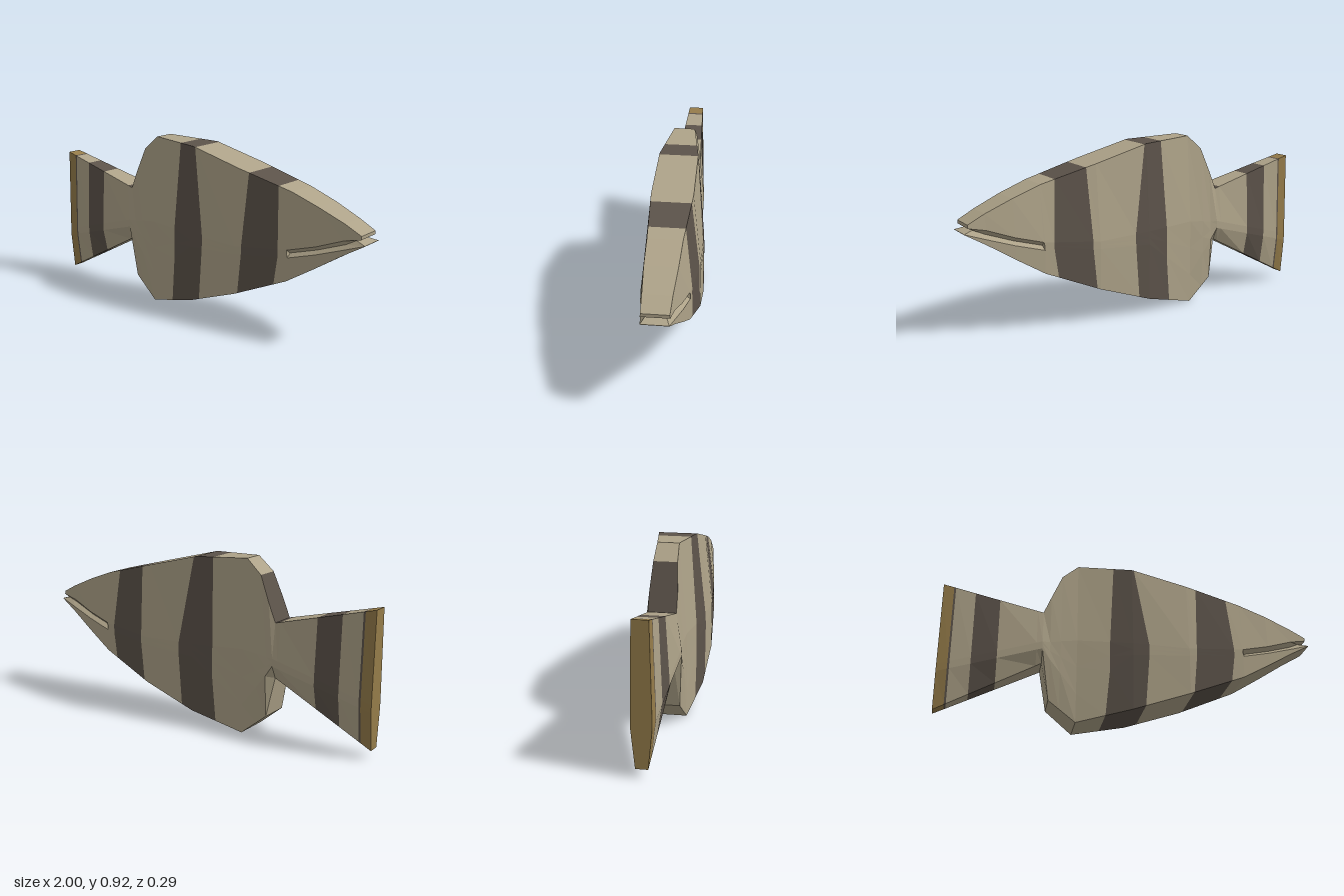
import * as THREE from 'three';

const material = (name, color) => {
  const m = new THREE.MeshStandardMaterial({ color, flatShading: true });
  m.name = name;
  return m;
};

// Cross-sections: x, then height and half-width of back edge, upper jaw line, lower jaw line, belly edge
const SECTIONS = [
  [-1, .755, .04, .29, .05, .25, .05, .05, .03],
  [-.47, .62, .07, .44, .095, .4, .095, .33, .06],
  [-.43, .717, .07, .44, .09, .34, .095, .12, .08],
  [-.375, .85, .06, .45, .092, .27, .095, .075, .085],
  [-.29, .925, .055, .46, .095, .16, .095, .005, .093],
  [0, .91, .1, .45, .135, .38, .138, .08, .138],
  [.3, .833, .105, .44, .145, .4, .146, .185, .145],
  [.6, .755, .085, .47, .12, .43, .12, .31, .12],
  [.75, .7, .08, .51, .1, .47, .1, .4, .1],
  [.89, .64, .07, .56, .077, .515, .08, .488, .08],
  [1, .583, .065, .582, .065, .552, .065, .551, .065],
];

// Height and half-width of one edge at any x
function edge(x, row) {
  let i = 0;
  while (i < SECTIONS.length - 2 && x > SECTIONS[i + 1][0]) i++;
  const a = SECTIONS[i], b = SECTIONS[i + 1];
  const t = (x - a[0]) / (b[0] - a[0]);
  const at = (k) => a[k] + (b[k] - a[k]) * t;
  return [at(1 + row * 2), at(2 + row * 2)];
}

// Ring of ten points; the x of back, middle and belly may differ so stripes can lean
function ring(station) {
  const [xt, xm, xb] = Array.isArray(station) ? station : [station, station, station];
  const tip = xm > .95;
  const side = [xt, xm, xm, xb].map((x, r) => {
    const xr = tip ? (r < 2 ? .977 : .995) : x;
    return [xr, ...edge(xr, r)];
  });
  // mouth groove, sunk between the jaw lines
  const depth = xm > .6 ? .022 : 0;
  const groove = [tip ? .94 : xm, (side[1][1] + side[2][1]) / 2, (side[1][2] + side[2][2]) / 2 - depth];
  side.splice(2, 0, groove);
  const point = (s) => ([x, y, w]) => new THREE.Vector3(x, y, s * w);
  return [...side.map(point(1)), ...side.map(point(-1)).reverse()];
}

const BACK = 9; // ring segment that crosses the back

// Skin between neighbouring rings, for the wanted segments
function skin(stations, segments, capStart, capEnd) {
  const rings = stations.map(ring), pos = [];
  const quad = (a, b, c, d) => {
    for (const p of [a, b, c, a, c, d]) pos.push(p.x, p.y, p.z);
  };
  for (let i = 0; i < rings.length - 1; i++) {
    const A = rings[i], B = rings[i + 1];
    for (const j of segments) {
      const k = (j + 1) % 10;
      quad(A[j], A[k], B[k], B[j]);
    }
  }
  const first = rings[0], last = rings[rings.length - 1];
  for (let j = 0; j < 4; j++) {
    if (capStart) quad(first[9 - j], first[8 - j], first[j + 1], first[j]);
    if (capEnd) quad(last[j], last[j + 1], last[8 - j], last[9 - j]);
  }
  const geometry = new THREE.BufferGeometry();
  geometry.setAttribute('position', new THREE.Float32BufferAttribute(pos, 3));
  geometry.computeVertexNormals();
  return geometry;
}

export function createModel() {
  const sand = material('sand', 0xaea389);
  const dark = material('darkBrown', 0x5c534a);
  const gold = material('gold', 0x957c4a);

  const group = new THREE.Group();
  group.name = 'fish';
  const add = (name, mat, stations, { segments = [0, 1, 2, 3, 4, 5, 6, 7, 8, 9], start = false, end = false } = {}) => {
    const mesh = new THREE.Mesh(skin(stations, segments, start, end), mat);
    mesh.name = name;
    group.add(mesh);
  };

  // Leaning stripe borders: back, middle, belly
  const s1 = [-.1, -.12, -.14], s2 = [.01, .085, .065];
  const s3 = [.355, .34, .32], s4 = [.525, .55, .53];

  // Tail fin
  add('tailFinEdge', gold, [-1, -.945], { start: true });
  add('tailFinLine', dark, [-.945, -.935]);
  add('tailFinOuter', sand, [-.935, -.83]);
  add('tailFinStripe', dark, [-.83, -.7]);
  add('tailFinInner', sand, [-.7, -.5]);

  // Tail root, with a dark strip over the back
  const root = [-.5, -.47, -.43, -.375];
  add('tailRoot', sand, root, { segments: [0, 1, 2, 3, 4, 5, 6, 7, 8] });
  add('tailRootBack', dark, root, { segments: [BACK] });

  // Body with two stripes
  add('rearBody', sand, [-.375, -.29, s1]);
  add('rearStripe', dark, [s1, 0, s2]);
  add('middleBody', sand, [s2, .3, s3]);
  add('frontStripe', dark, [s3, s4]);

  // Head with the mouth groove and parted lips
  add('head', sand, [s4, .6, .605, .75, .89, .98], { end: true });
  return group;
}
